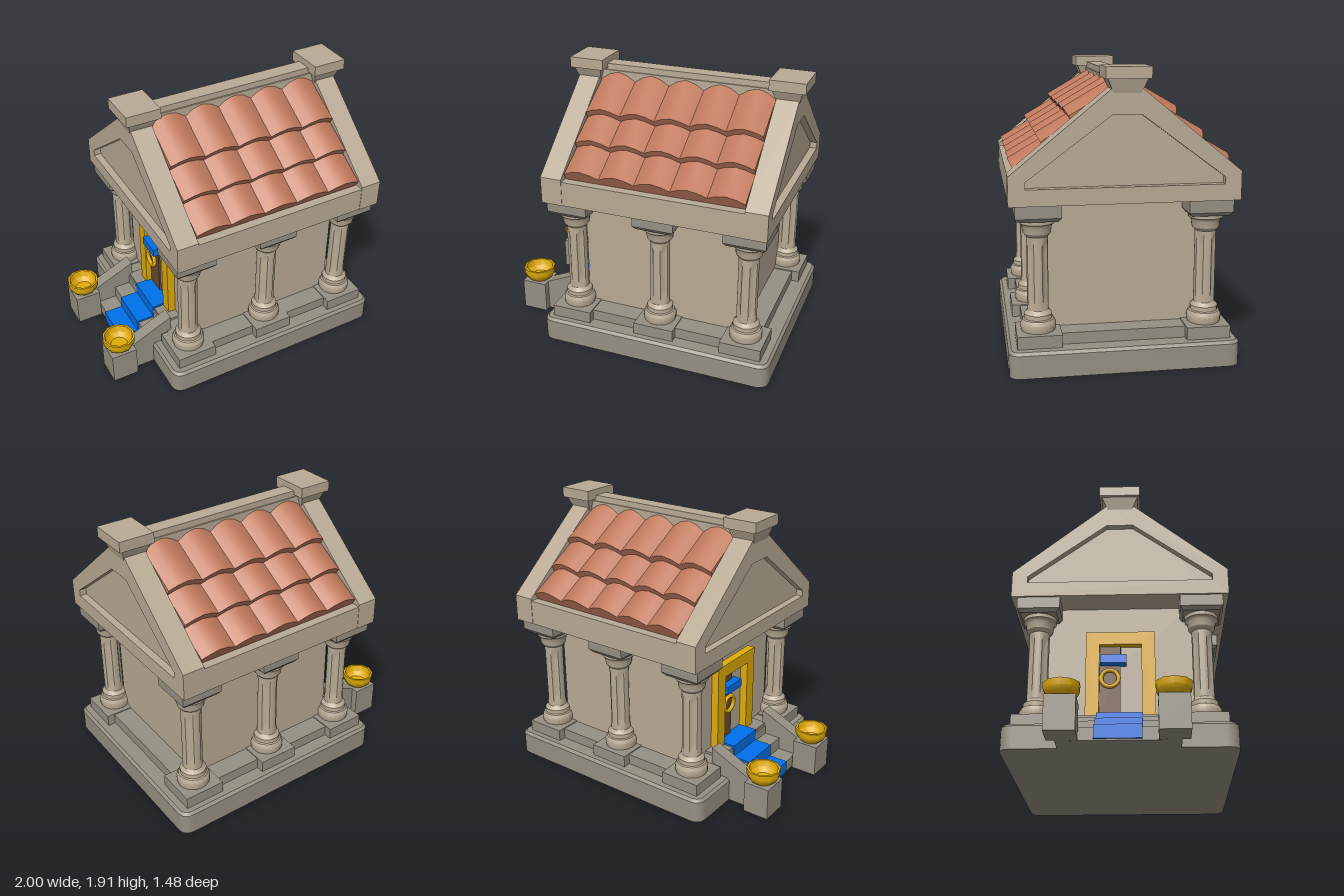
import * as THREE from 'three';
import { toCreasedNormals } from 'three/addons/utils/BufferGeometryUtils.js';

const material = (color) => new THREE.MeshStandardMaterial({ color, side: THREE.DoubleSide });
const stone = material(0xb8aa94), darkStone = material(0x969083), clay = material(0xc07a5e);
const gold = material(0xe0ac08), blue = material(0x0070e8), wood = material(0x6b4a32);
const CX = 0.175; // middle of the building along x

function add(parent, name, geometry, mat, x = 0, y = 0, z = 0) {
  const mesh = new THREE.Mesh(geometry, mat);
  mesh.name = name;
  mesh.position.set(x, y, z);
  parent.add(mesh);
  return mesh;
}

// Box given by its limits on each axis
function block(parent, name, mat, [x0, x1], [y0, y1], [z0, z1]) {
  return add(parent, name, new THREE.BoxGeometry(x1 - x0, y1 - y0, z1 - z0), mat,
    (x0 + x1) / 2, (y0 + y1) / 2, (z0 + z1) / 2);
}

// Box whose top and bottom differ in size, standing on y = 0
function frustum(w0, d0, w1, d1, h) {
  const g = new THREE.BoxGeometry(1, h, 1).translate(0, h / 2, 0);
  const p = g.attributes.position;
  for (let i = 0; i < p.count; i++) {
    const top = p.getY(i) > h / 2;
    p.setX(i, p.getX(i) * (top ? w1 : w0));
    p.setZ(i, p.getZ(i) * (top ? d1 : d0));
  }
  g.computeVertexNormals();
  return g;
}

const vectors = (pts) => pts.map(([x, y]) => new THREE.Vector2(x, y));
// Half outline (z, y) mirrored to a full symmetric outline
const mirrored = (half) => vectors([...half, ...half.map(([z, y]) => [-z, y]).reverse()]);

// Extrudes a (z, y) outline from x0 to x1
function alongX(shape, x0, x1) {
  return new THREE.ExtrudeGeometry(shape, { depth: x1 - x0, bevelEnabled: false })
    .rotateY(-Math.PI / 2).translate(x1, 0, 0);
}

function roundedPlinth(w, d, h, r, bevel) {
  const a = w / 2 - bevel, b = d / 2 - bevel, s = new THREE.Shape();
  s.moveTo(-a + r, -b).lineTo(a - r, -b).quadraticCurveTo(a, -b, a, -b + r)
    .lineTo(a, b - r).quadraticCurveTo(a, b, a - r, b)
    .lineTo(-a + r, b).quadraticCurveTo(-a, b, -a, b - r)
    .lineTo(-a, -b + r).quadraticCurveTo(-a, -b, -a + r, -b);
  const g = new THREE.ExtrudeGeometry(s, { depth: h - bevel, bevelSize: bevel, bevelThickness: bevel, bevelSegments: 1, curveSegments: 5 });
  // square off the lower bevel so the plinth stands flat
  const p = g.attributes.position;
  for (let i = 0; i < p.count; i++) p.setZ(i, Math.max(0, p.getZ(i)));
  return toCreasedNormals(g.rotateX(-Math.PI / 2), 0.5);
}

// Shaft with a flute on each diagonal
function flutedShaft(r, h) {
  const g = new THREE.CylinderGeometry(r, r, h, 64, 14, true);
  const p = g.attributes.position;
  for (let i = 0; i < p.count; i++) {
    const a = Math.atan2(p.getZ(i), p.getX(i));
    const inside = Math.abs(p.getY(i)) < h * 0.42 ? 1 : 0;
    const k = 1 - inside * 0.17 * Math.sqrt(Math.max(0, -Math.cos(4 * a) - 0.2));
    p.setX(i, p.getX(i) * k);
    p.setZ(i, p.getZ(i) * k);
  }
  return toCreasedNormals(g, 0.6);
}

function createColumn() {
  const column = new THREE.Group();
  const turned = (pts) => toCreasedNormals(new THREE.LatheGeometry(vectors(pts), 20), 0.5);
  add(column, 'columnPedestal', new THREE.BoxGeometry(0.285, 0.09, 0.285), darkStone, 0, 0.205, 0);
  add(column, 'columnFoot', turned([[0.105, 0.24], [0.112, 0.265], [0.112, 0.3], [0.1, 0.325],
    [0.09, 0.33], [0.09, 0.36], [0.076, 0.375], [0.066, 0.39]]), stone);
  add(column, 'columnShaft', flutedShaft(0.068, 0.5), stone, 0, 0.625, 0);
  add(column, 'columnCapital', turned([[0.066, 0.86], [0.076, 0.87], [0.088, 0.885], [0.094, 0.925],
    [0.1, 0.94], [0.112, 0.95], [0.112, 0.985]]), stone);
  add(column, 'capitalTaper', frustum(0.245, 0.245, 0.285, 0.285, 0.025), darkStone, 0, 0.975, 0);
  add(column, 'capitalSlab', new THREE.BoxGeometry(0.285, 0.08, 0.285), darkStone, 0, 1.04, 0);
  return column;
}

// Peaked tile, its lower end at the origin and rising towards -z
function tileGeometry(width, length) {
  const s = new THREE.Shape(vectors([[-0.5, -0.1], [0.5, -0.1], [0.5, -0.05], [0.27, -0.018],
    [0, 0], [-0.27, -0.018], [-0.5, -0.05]].map(([x, y]) => [x * width, y])));
  const g = new THREE.ExtrudeGeometry(s, { depth: length, bevelEnabled: false });
  return toCreasedNormals(g.translate(0, 0, -length).rotateX(Math.PI / 6), 0.6);
}

export function createModel() {
  const temple = new THREE.Group();
  temple.name = 'temple';

  // Base and inner chamber, whose walls meet the columns
  add(temple, 'base', roundedPlinth(1.645, 1.48, 0.168, 0.06, 0.018), darkStone, 0.1775, 0, 0);
  block(temple, 'floorStep', darkStone, [-0.53, 0.88], [0.15, 0.243], [-0.63, 0.63]);
  block(temple, 'chamber', stone, [-0.39, 0.74], [0.24, 1.09], [-0.49, 0.49]);

  // Columns
  for (const x of [-0.443, CX, 0.793]) for (const z of [-0.542, 0.542]) {
    const column = createColumn();
    column.name = 'column';
    column.position.set(x, 0, z);
    temple.add(column);
  }

  // Beam and roof core, which also fills the recessed gables
  block(temple, 'beam', stone, [-0.46, 0.81], [1.08, 1.25], [-0.722, 0.722]);
  add(temple, 'roofCore', alongX(new THREE.Shape(mirrored([[0.65, 1.09], [0.65, 1.25], [0.09, 1.72]])), -0.55, 0.9), stone);

  // Gable frames with their ridge blocks
  for (const [x0, x1] of [[-0.6, -0.45], [0.8, 0.95]]) {
    const shape = new THREE.Shape(mirrored([[0.725, 1.08], [0.725, 1.265], [0.085, 1.79]]));
    shape.holes.push(new THREE.Path(mirrored([[0.62, 1.185], [0.62, 1.23], [0.09, 1.625]])));
    add(temple, 'gableFrame', alongX(shape, x0, x1), stone);
    const x = (x0 + x1) / 2;
    add(temple, 'ridgeBlockTaper', frustum(0.15, 0.17, 0.2, 0.25, 0.09), stone, x, 1.755, 0);
    add(temple, 'ridgeBlock', new THREE.BoxGeometry(0.242, 0.072, 0.28), stone, x + (x < 0 ? 0.001 : 0.004), 1.879, 0);
  }

  // Ridge beam
  block(temple, 'ridgeLower', stone, [-0.46, 0.81], [1.65, 1.83], [-0.065, 0.065]);
  block(temple, 'ridgeUpper', stone, [-0.46, 0.81], [1.82, 1.872], [-0.055, 0.055]);

  // Tiles, three overlapping rows on each slope
  const tileWidth = 0.247;
  for (const turn of [0, Math.PI]) {
    const slope = new THREE.Group();
    slope.name = 'tileSlope';
    slope.position.x = CX;
    slope.rotation.y = turn;
    for (let row = 0; row < 3; row++) {
      const g = tileGeometry(tileWidth, row === 2 ? 0.34 : 0.3);
      for (let i = -2; i <= 2; i++)
        add(slope, 'roofTile', g, clay, i * tileWidth, 1.338 + 0.156 * row, 0.713 - 0.175 * row);
    }
    temple.add(slope);
  }

  // Steps with a carpet running over them
  const steps = [[-0.787, 0.085], [-0.65, 0.175], [-0.52, 0.26]];
  steps.forEach(([x, y], i) => {
    const end = i < 2 ? steps[i + 1][0] : -0.39;
    block(temple, 'step', darkStone, [x, end], [0, y], [-0.3, 0.3]);
    block(temple, 'carpet', blue, [x - 0.012, end], [i ? steps[i - 1][1] : 0.01, y + 0.014], [-0.15, 0.145]);
  });

  // Sloping cheeks, end posts and bowls
  const cheek = new THREE.Shape(vectors([[-0.8, 0], [-0.5, 0], [-0.5, 0.36], [-0.8, 0.225]]));
  const bowl = toCreasedNormals(new THREE.LatheGeometry(vectors([[0, 0], [0.075, 0], [0.1, 0.025],
    [0.113, 0.055], [0.115, 0.097], [0.1, 0.097], [0.09, 0.05], [0.06, 0.022], [0, 0.018]]), 10), 0.7)
    .rotateY(Math.PI / 2);
  for (const z of [-0.335, 0.335]) {
    add(temple, 'stairCheek', new THREE.ExtrudeGeometry(cheek, { depth: 0.09, bevelEnabled: false }), darkStone, 0, 0, z - 0.045);
    block(temple, 'stairPost', darkStone, [-0.978, -0.795], [0, 0.225], [z - 0.095, z + 0.095]);
    add(temple, 'bowl', bowl, gold, -0.885, 0.225, z);
  }

  // Doorway with frame, door leaf, bracket and hanging ring
  const frame = new THREE.Shape(vectors([[-0.23, 0.24], [-0.14, 0.24], [-0.14, 0.79], [0.14, 0.79],
    [0.14, 0.24], [0.23, 0.24], [0.23, 0.88], [-0.23, 0.88]]));
  add(temple, 'doorFrame', alongX(frame, -0.445, -0.38), gold);
  block(temple, 'doorLeaf', wood, [-0.405, -0.38], [0.24, 0.79], [-0.14, 0.0]);
  block(temple, 'doorBracket', blue, [-0.46, -0.38], [0.65, 0.71], [-0.135, 0.04]);
  add(temple, 'doorRing', new THREE.TorusGeometry(0.058, 0.015, 8, 20).rotateY(Math.PI / 2), gold, -0.43, 0.55, -0.07);

  return temple;
}
